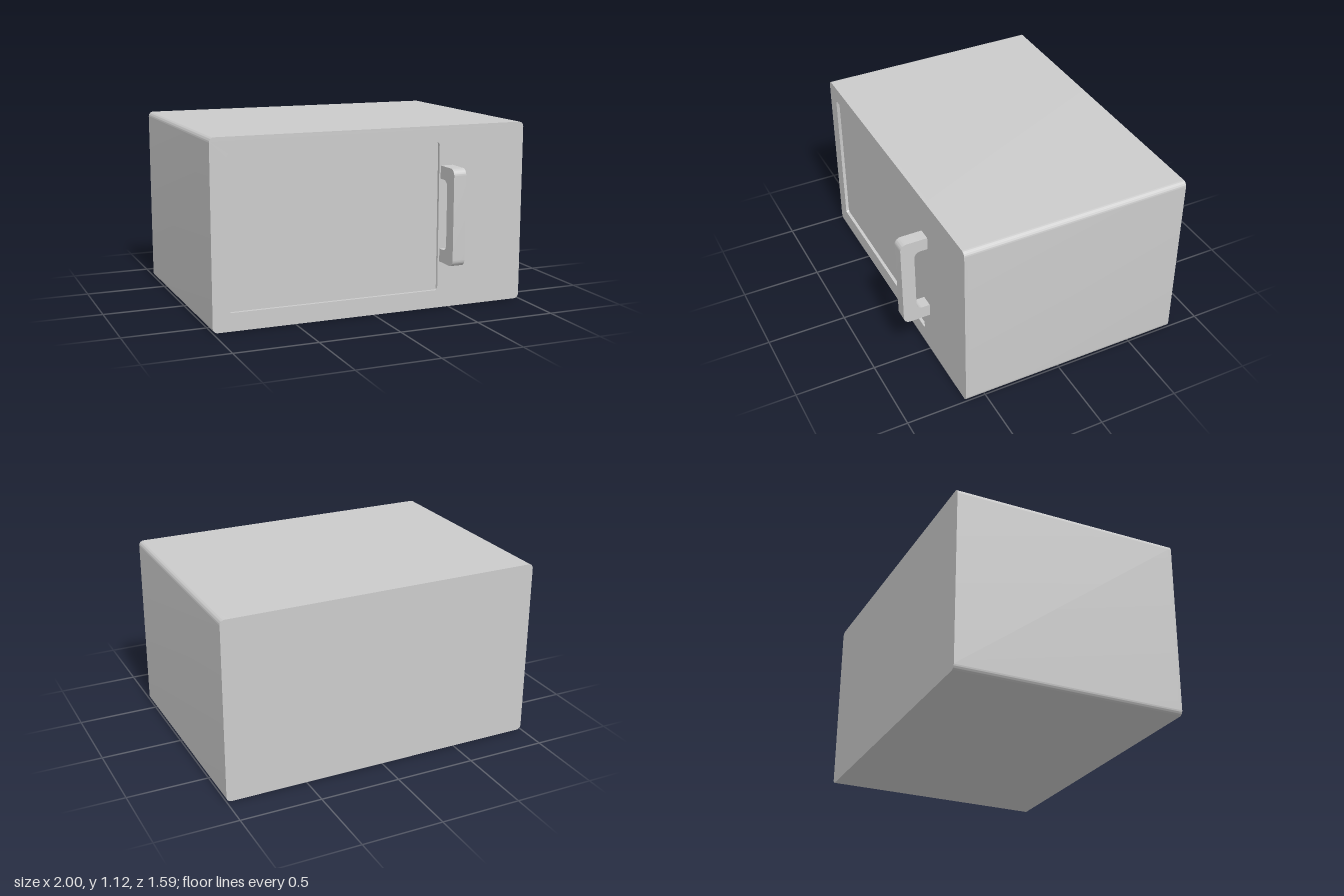
import * as THREE from 'three';
import { toCreasedNormals } from 'three/addons/utils/BufferGeometryUtils.js';

const material = new THREE.MeshStandardMaterial({ color: 0xcccccc });

// Traces a rectangle with rounded corners into a Shape or Path
function roundedRect(path, x0, y0, x1, y1, r) {
  path.moveTo(x0 + r, y0);
  path.lineTo(x1 - r, y0);
  path.absarc(x1 - r, y0 + r, r, -Math.PI / 2, 0);
  path.lineTo(x1, y1 - r);
  path.absarc(x1 - r, y1 - r, r, 0, Math.PI / 2);
  path.lineTo(x0 + r, y1);
  path.absarc(x0 + r, y1 - r, r, Math.PI / 2, Math.PI);
  path.lineTo(x0, y0 + r);
  path.absarc(x0 + r, y0 + r, r, Math.PI, Math.PI * 1.5);
  return path;
}

function extrude(name, shape, depth) {
  const geometry = new THREE.ExtrudeGeometry(shape, { depth, bevelEnabled: false, curveSegments: 10 });
  const mesh = new THREE.Mesh(toCreasedNormals(geometry, 0.6), material);
  mesh.name = name;
  return mesh;
}

export function createModel() {
  const group = new THREE.Group();
  group.name = 'microwaveOven';
  const back = -0.795, front = 0.625, recess = 0.02;
  const outline = () => roundedRect(new THREE.Shape(), -1, 0, 1, 1.12, 0.03);

  // Main casing; its front face is the floor of the door recess
  const casing = extrude('casing', outline(), front - recess - back);
  casing.position.z = back;
  group.add(casing);

  // Front panel framing the recessed door window
  const panel = outline();
  panel.holes.push(roundedRect(new THREE.Path(), -0.9, 0.11, 0.425, 1.02, 0.015));
  const frontPanel = extrude('frontPanel', panel, recess);
  frontPanel.position.z = front - recess;
  group.add(frontPanel);

  // C-shaped handle, profile drawn as (z, y) and extruded across x
  const y0 = 0.29, y1 = 0.88, outer = 0.795, inner = 0.71, bar = 0.08, r = 0.04;
  const profile = new THREE.Shape();
  profile.moveTo(front, y0);
  profile.lineTo(outer - r, y0);
  profile.absarc(outer - r, y0 + r, r, -Math.PI / 2, 0);
  profile.lineTo(outer, y1 - r);
  profile.absarc(outer - r, y1 - r, r, 0, Math.PI / 2);
  profile.lineTo(front, y1);
  profile.lineTo(front, y1 - bar);
  profile.absarc(inner - r, y1 - bar - r, r, Math.PI / 2, 0, true);
  profile.absarc(inner - r, y0 + bar + r, r, 0, -Math.PI / 2, true);
  profile.lineTo(front, y0 + bar);
  const handle = extrude('doorHandle', profile, 0.08);
  handle.rotation.y = -Math.PI / 2;
  handle.position.x = 0.515;
  group.add(handle);

  return group;
}
